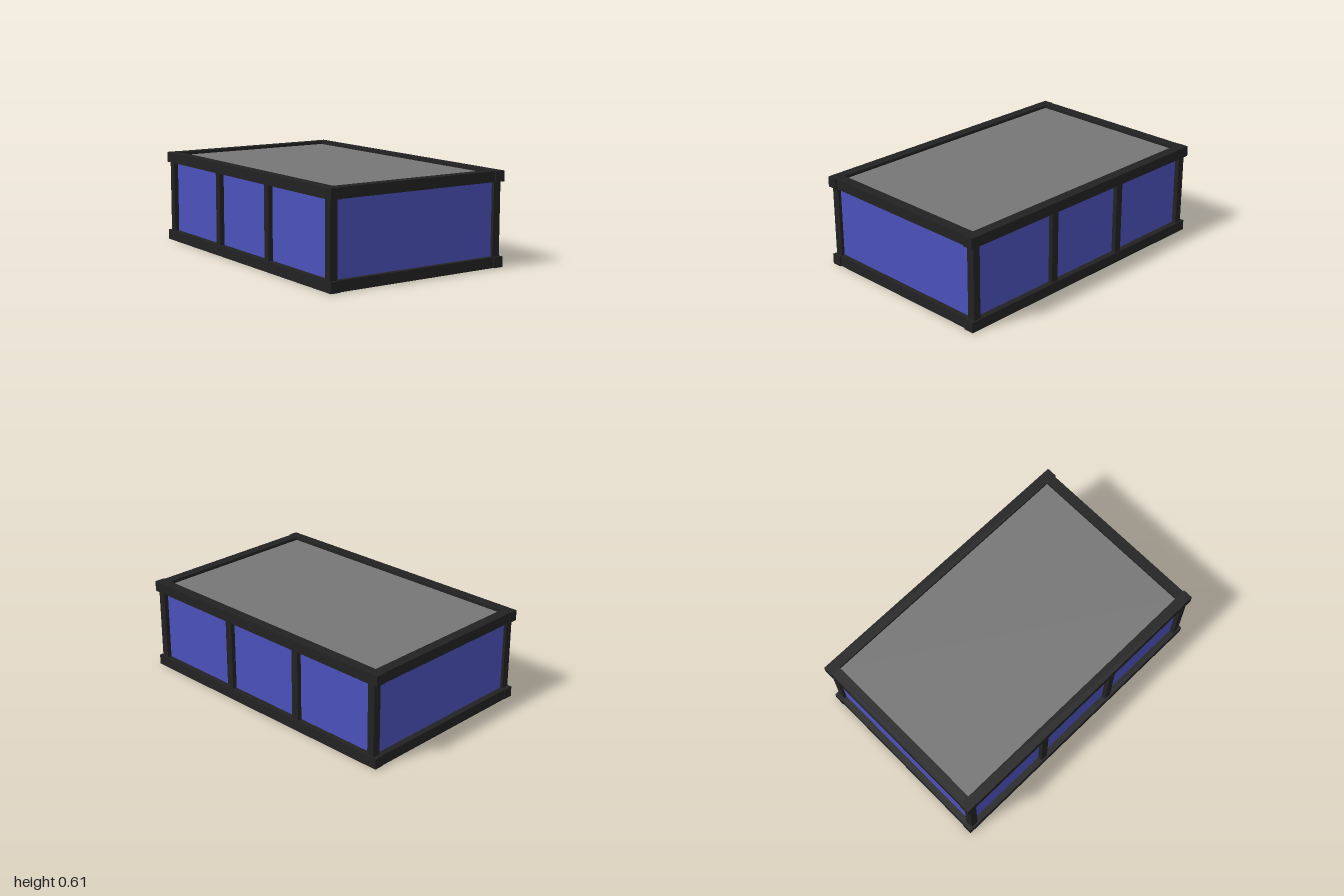
import * as THREE from 'three';

export function createModel() {
  const group = new THREE.Group();
  group.name = 'framedContainer';

  const make = (name, color) => {
    const m = new THREE.MeshStandardMaterial({ color });
    m.name = name;
    return m;
  };
  const frame = make('darkFrame', 0x222222);
  const wall = make('blueWall', 0x4b51bb);
  const roof = make('greyRoof', 0x767676);

  // Box given by its lower and upper corners
  const box = (name, mat, [x0, y0, z0], [x1, y1, z1]) => {
    const mesh = new THREE.Mesh(new THREE.BoxGeometry(x1 - x0, y1 - y0, z1 - z0), mat);
    mesh.position.set((x0 + x1) / 2, (y0 + y1) / 2, (z0 + z1) / 2);
    mesh.name = name;
    group.add(mesh);
  };

  const W = 0.65, H = 0.61, R = 0.068; // half width, height, rail thickness
  const inner = W - R;

  // Bottom and top rails: long side rails with slightly shorter end rails between
  for (const [level, y] of [['bottom', 0], ['top', H - R]]) {
    for (const s of [-1, 1]) {
      const c = s * (W - R / 2);
      box(level + 'SideRail', frame, [c - R / 2, y, -1], [c + R / 2, y + R, 1]);
    }
    box(level + 'FrontRail', frame, [-inner, y, 0.922], [inner, y + R, 0.99]);
    box(level + 'BackRail', frame, [-inner, y, -0.996], [inner, y + R, -0.928]);
  }

  // Upright posts along both long sides
  for (const s of [-1, 1]) {
    for (const z of [0.951, 0.285, -0.315, -0.949]) {
      const c = s * 0.614;
      const name = Math.abs(z) > 0.9 ? 'cornerPost' : 'middlePost';
      box(name, frame, [c - 0.026, R, z - 0.025], [c + 0.026, H - R, z + 0.025]);
    }
    // Side wall set back behind the faces of the posts
    const p = s * 0.605;
    box('sideWall', wall, [p - 0.005, R, -0.94], [p + 0.005, H - R, 0.94]);
    // End wall between the corner posts
    const e = s * 0.95;
    box(s > 0 ? 'frontWall' : 'backWall', wall, [-0.6, R, e - 0.005], [0.6, H - R, e + 0.005]);
  }

  // Sunken roof panel and floor panel
  box('roofPanel', roof, [-inner, H - 0.04, -0.928], [inner, H - 0.02, 0.922]);
  box('floorPanel', frame, [-inner, 0.005, -0.928], [inner, 0.025, 0.922]);

  return group;
}
